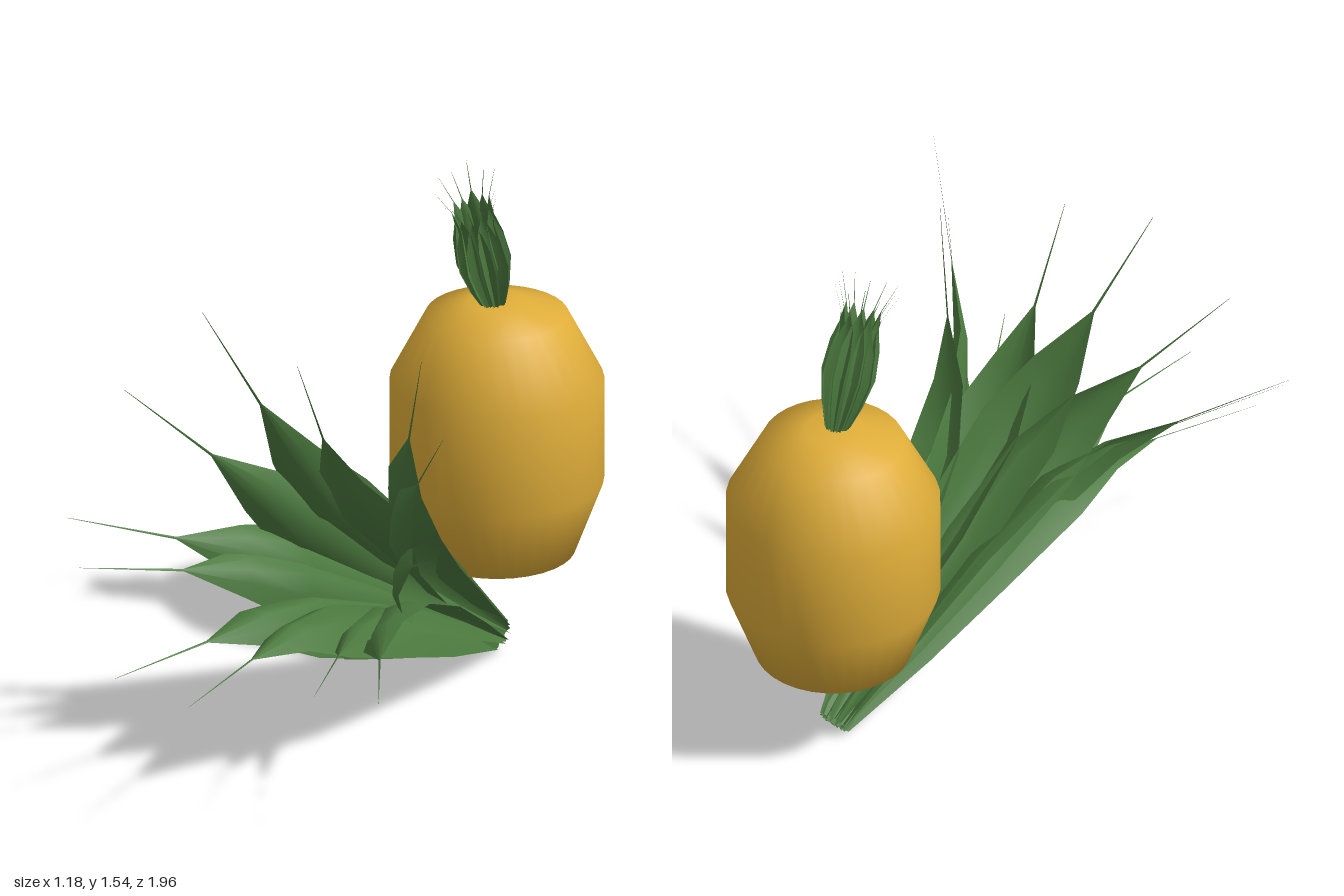
import * as THREE from 'three';

const skin = new THREE.MeshStandardMaterial({ color: 0xdfad39 });
skin.name = 'golden skin';
const green = new THREE.MeshStandardMaterial({ color: 0x4c7a3f, side: THREE.DoubleSide });
green.name = 'leaf green';

// A channelled blade: each row is [along axis, ridge radius, half width, outward curl of the edges]
function leafGeometry(rows, stretch, flare, curl) {
  const across = [-1, -0.5, 0, 0.5, 1];
  const pos = [], index = [];
  rows.forEach(([s, r, w, d], i) => {
    for (const u of across) pos.push(u * w, s * stretch, r * flare + d * curl * u * u);
    if (i === 0) return;
    for (let j = 0; j < across.length - 1; j++) {
      const a = (i - 1) * across.length + j, b = a + across.length;
      index.push(a, a + 1, b, a + 1, b + 1, b);
    }
  });
  const geo = new THREE.BufferGeometry();
  geo.setAttribute('position', new THREE.Float32BufferAttribute(pos, 3));
  geo.setIndex(index);
  geo.computeVertexNormals();
  return geo;
}

// A ring of blades around a tilted axis; each leaf is [degrees, stretch, flare, curl]
function crown(name, rows, leaves, position, tilt) {
  const group = new THREE.Group();
  group.name = name;
  for (const [degrees, stretch, flare, curl] of leaves) {
    const leaf = new THREE.Mesh(leafGeometry(rows, stretch, flare, curl), green);
    leaf.name = name + 'Leaf';
    leaf.rotation.y = THREE.MathUtils.degToRad(degrees);
    group.add(leaf);
  }
  group.position.set(...position);
  group.rotation.x = tilt;
  return group;
}

export function createModel() {
  const model = new THREE.Group();
  model.name = 'pineapple';

  // Barrel-shaped fruit
  const profile = [[0, 0.285], [0.225, 0.308], [0.308, 0.53], [0.308, 0.84], [0.205, 1.04], [0.08, 1.08], [0, 1.08]];
  const fruit = new THREE.Mesh(
    new THREE.LatheGeometry(profile.map(([x, y]) => new THREE.Vector2(x, y)), 32), skin);
  fruit.name = 'fruit';
  fruit.position.z = -0.692;
  model.add(fruit);

  // Large flared crown leaning forward from below the fruit
  const bigRows = [
    [0, 0.028, 0.02, 0.012], [0.3, 0.04, 0.07, 0.05], [0.6, 0.065, 0.11, 0.072],
    [0.9, 0.13, 0.12, 0.075], [1.08, 0.235, 0.075, 0.035], [1.24, 0.38, 0.004, 0], [1.5, 0.59, 0.0006, 0]];
  const bigLeaves = [
    [0, 1.06, 0.98, 1.8], [32, 0.93, 0.88, 1.6], [50, 0.945, 1.1, 1], [91, 1, 0.98, 1],
    [122, 1.07, 1.11, 1], [154, 0.913, 1.08, 1], [180, 1.04, 0.77, 1], [211, 1.075, 1.05, 1],
    [243, 1.04, 0.99, 1], [282, 1.013, 1.04, 1], [297, 1.02, 0.97, 1], [331, 1.01, 1.05, 1.6]];
  model.add(crown('largeCrown', bigRows, bigLeaves, [0, 0.045, -0.69], 1.0));

  // Small closed crown on top of the fruit
  const smallRows = [
    [0, 0.024, 0.014, 0.006], [0.08, 0.04, 0.026, 0.014], [0.17, 0.053, 0.036, 0.018],
    [0.26, 0.049, 0.034, 0.016], [0.32, 0.047, 0.02, 0.008], [0.37, 0.06, 0.0015, 0], [0.45, 0.095, 0.0004, 0]];
  const smallLengths = [0.98, 0.96, 1, 1.02, 0.97, 1.03, 1, 1.04, 0.98, 1.01, 0.97, 1];
  const smallLeaves = smallLengths.map((length, i) => [i * 30, length, 1, 1]);
  model.add(crown('smallCrown', smallRows, smallLeaves, [0, 1.07, -0.677], 0.33));

  return model;
}
